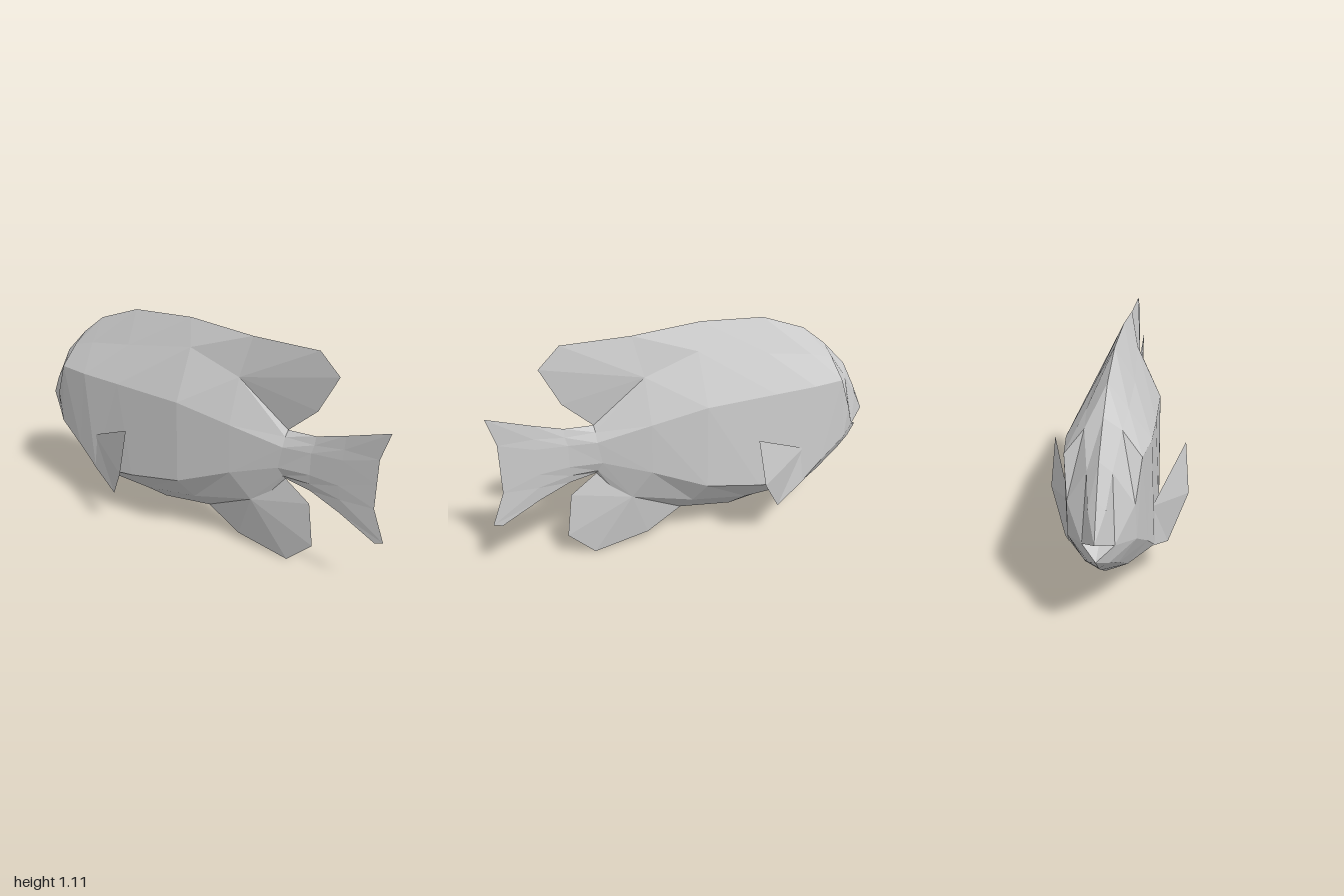
import * as THREE from 'three';

const V = (x, y, z) => new THREE.Vector3(x, y, z);

// Cross-sections from tail to head: ridge, upper flank, shoulder, lower flank, belly, keel (x, y, z)
const tailRows = [
  [[0, .815, .98], [0, .68, .94], [0, .56, .94], [0, .44, .94], [0, .285, 1], [0, .27, .96]],
  [[0, .745, .78], [.006, .68, .78], [.01, .63, .78], [.01, .5, .77], [.006, .43, .78], [0, .36, .78]],
  [[0, .7, .64], [.01, .66, .64], [.018, .62, .63], [.018, .51, .63], [.01, .46, .63], [0, .42, .63]],
  [[0, .69, .5], [.025, .665, .5], [.045, .62, .5], [.045, .51, .48], [.025, .465, .5], [0, .44, .5]],
];
const trunkRows = [
  [[0, 1.09, .3], [.045, .9, .26], [.118, .69, .26], [.11, .44, .26], [.042, .29, .34], [0, .04, .25]],
  [[0, 1.11, -.04], [.06, .99, 0], [.17, .75, 0], [.172, .335, 0], [.085, .22, .04], [0, .14, .07]],
  [[0, 1.085, -.37], [.085, .93, -.36], [.178, .755, -.36], [.19, .28, -.28], [.1, .175, -.25], [0, .09, -.21]],
];
const headRows = [
  [[0, 1, -.6], [.085, .89, -.6], [.178, .755, -.58], [.19, .245, -.53], [.1, .175, -.51], [0, .12, -.5]],
  [[0, .9, -.73], [.075, .85, -.73], [.155, .75, -.75], [.17, .33, -.65], [.09, .23, -.68], [0, .19, -.68]],
  [[0, .77, -.86], [.05, .72, -.84], [.135, .58, -.82], [.14, .42, -.8], [.07, .32, -.82], [0, .29, -.84]],
  [[0, .64, -.93], [.035, .6, -.925], [.065, .44, -.9], [.065, .44, -.9], [.04, .36, -.9], [0, .335, -.9]],
];
const snout = [0, .49, -1], jaw = [0, .4, -.97], throat = [0, .435, -.86];
const tipRow = [snout, snout, snout, jaw, jaw, jaw];

// Triangles for the +x side, outward facing
function loft(rows, skip = () => false) {
  const tris = [];
  for (let i = 0; i + 1 < rows.length; i++) {
    for (let j = 0; j < 5; j++) {
      if (skip(i, j)) continue;
      const a = rows[i][j], b = rows[i][j + 1], c = rows[i + 1][j + 1], d = rows[i + 1][j];
      tris.push([a, b, c], [a, c, d]);
    }
  }
  return tris;
}

function fan(hub, rim) {
  return rim.slice(1).map((p, i) => [hub, rim[i], p]);
}

// Faceted mesh; mirrored adds the -x half
function facets(name, tris, material, mirrored = true) {
  const pos = [];
  for (const t of tris) {
    const [a, b, c] = t.map(p => V(...p));
    const area = b.clone().sub(a).cross(c.clone().sub(a)).length();
    if (area < 1e-7) continue;
    for (const p of [a, b, c]) pos.push(p.x, p.y, p.z);
    if (mirrored) for (const p of [a, c, b]) pos.push(-p.x, p.y, p.z);
  }
  const g = new THREE.BufferGeometry();
  g.setAttribute('position', new THREE.Float32BufferAttribute(pos, 3));
  g.computeVertexNormals();
  const mesh = new THREE.Mesh(g, material);
  mesh.name = name;
  return mesh;
}

export function createModel() {
  const group = new THREE.Group();
  group.name = 'fish';
  const grey = new THREE.MeshStandardMaterial({ color: 0xcccccc, side: THREE.DoubleSide });
  grey.name = 'light grey';

  // Tail, trunk and head share their border sections
  group.add(facets('tail', loft(tailRows), grey));
  group.add(facets('trunk', loft([tailRows[3], ...trunkRows, headRows[0]]), grey));
  const headTris = loft([...headRows, tipRow], (i, j) => i === 3 && j === 2);
  group.add(facets('head', headTris, grey));

  // Open mouth lining
  const corner = headRows[3][2];
  group.add(facets('mouth', [[snout, corner, throat], [corner, jaw, throat]], grey));

  // Tapered upright fins
  group.add(facets('dorsalFin', fan([.045, .9, .26],
    [[0, 1.09, .3], [0, 1.095, .63], [0, 1, .73], [0, .82, .64], [0, .69, .5]]), grey));
  group.add(facets('analFin', fan([.042, .29, .34],
    [[0, .44, .5], [0, .35, .63], [0, .13, .66], [0, 0, .53], [0, .04, .25]]), grey));

  // Side fins, spread outwards
  const sideFin = fan([.18, .43, -.53],
    [[.305, .6, -.2], [.325, .36, -.235], [.24, .17, -.36], [.185, .25, -.55]]);
  const mirror = sideFin.map(([a, b, c]) => [a, c, b].map(([x, y, z]) => [-x, y, z]));
  group.add(facets('leftPectoralFin', sideFin, grey, false));
  group.add(facets('rightPectoralFin', mirror, grey, false));

  return group;
}
